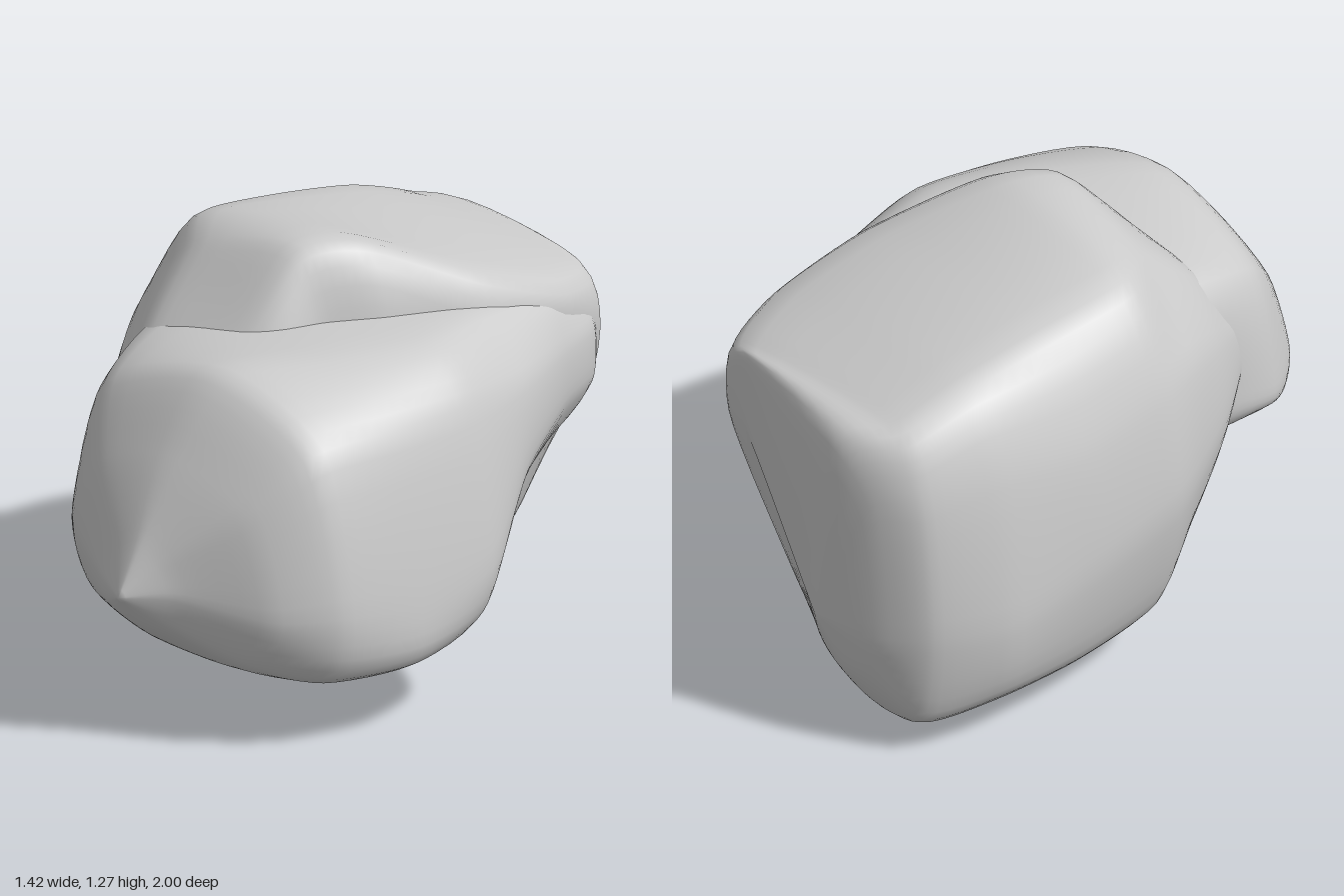
import * as THREE from 'three';

const material = new THREE.MeshStandardMaterial({ color: 0xcccccc });
const tension = 0.36;

// Smooth closed lobe lofted from back to front. Each section is
// { z, slant, p }: x, y corners, anticlockwise from the bottom left.
function lobe(name, backTip, sections, frontTip) {
  const corners = sections[0].p.length / 2, around = corners * 6, perSection = 6;
  const tail = new THREE.Vector3(...backTip), nose = new THREE.Vector3(...frontTip);

  // Rails run from tip to tip through matching corners
  const rails = [];
  for (let k = 0; k < corners; k++) {
    const points = sections.map(({ z, slant = 0, p }) =>
      new THREE.Vector3(p[2 * k], p[2 * k + 1], z + slant * Math.abs(p[2 * k] + 0.3)));
    rails.push(new THREE.CatmullRomCurve3([tail, ...points, nose], false, 'catmullrom', tension));
  }

  const rows = (sections.length + 1) * perSection;
  const position = [], index = [];
  for (let i = 0; i <= rows; i++) {
    const ring = new THREE.CatmullRomCurve3(rails.map(r => r.getPoint(i / rows)), true, 'catmullrom', tension);
    for (let j = 0; j < around; j++) {
      const v = ring.getPoint(j / around);
      position.push(v.x, Math.max(0, v.y), v.z);
      if (i === rows) continue;
      const a = i * around + j, b = i * around + (j + 1) % around;
      if (i > 0) index.push(a, b, a + around);
      if (i < rows - 1) index.push(b, b + around, a + around);
    }
  }
  const geometry = new THREE.BufferGeometry();
  geometry.setAttribute('position', new THREE.Float32BufferAttribute(position, 3));
  geometry.setIndex(index);
  geometry.computeVertexNormals();

  // Even shading at both tips
  const normal = geometry.attributes.normal;
  for (let j = 0; j < around; j++) {
    normal.setXYZ(j, 0, 0, -1);
    normal.setXYZ(rows * around + j, 0, 0, 1);
  }
  const mesh = new THREE.Mesh(geometry, material);
  mesh.name = name;
  return mesh;
}

export function createModel() {
  const rock = new THREE.Group();
  rock.name = 'rock';

  // Tall rear mass with a flat, backward sloping top, cut away low on its +x side
  rock.add(lobe('rearLobe', [-0.3, 0.42, -1], [
    { z: -0.95, slant: 0.17, p: [-0.45, 0.28, -0.36, 0.23, -0.25, 0.3, -0.06, 0.55, 0.17, 0.76, 0.1, 0.95, -0.3, 0.98, -0.45, 0.82, -0.5, 0.4] },
    { z: -0.82, p: [-0.57, 0.12, -0.38, 0.07, -0.13, 0.18, 0.08, 0.4, 0.3, 0.72, 0.25, 0.98, -0.42, 1.05, -0.57, 0.85, -0.62, 0.42] },
    { z: -0.6, p: [-0.65, 0.15, -0.38, 0, 0, 0.07, 0.2, 0.3, 0.33, 0.7, 0.34, 1.02, -0.44, 1.12, -0.62, 0.9, -0.7, 0.42] },
    { z: -0.3, p: [-0.64, 0.15, -0.38, 0.02, 0.1, 0.06, 0.27, 0.27, 0.37, 0.8, 0.3, 1.12, -0.45, 1.17, -0.65, 0.88, -0.71, 0.48] },
    { z: 0, p: [-0.6, 0.18, -0.34, 0.02, 0.08, 0.03, 0.27, 0.25, 0.27, 0.95, 0.14, 1.25, -0.45, 1.2, -0.63, 0.93, -0.69, 0.55] },
    { z: 0.17, p: [-0.51, 0.28, -0.28, 0.13, 0.08, 0.11, 0.2, 0.35, 0.17, 0.95, 0.05, 1.24, -0.34, 1.16, -0.56, 0.92, -0.61, 0.58] },
    { z: 0.36, p: [-0.4, 0.39, -0.22, 0.28, 0, 0.25, 0.1, 0.5, 0.1, 0.85, 0, 1.02, -0.3, 1.01, -0.45, 0.85, -0.49, 0.62] },
  ], [-0.25, 0.7, 0.64]));

  // Overhanging front mass, tapering flush into the upper side at the back
  rock.add(lobe('frontLobe', [0.06, 0.8, -0.87], [
    { z: -0.78, p: [0.05, 0.65, 0.12, 0.6, 0.25, 0.6, 0.33, 0.7, 0.33, 0.85, 0.24, 0.96, 0.1, 0.95, 0.05, 0.75] },
    { z: -0.55, p: [0, 0.58, 0.1, 0.52, 0.32, 0.52, 0.43, 0.68, 0.43, 0.86, 0.33, 1, 0, 0.95, -0.05, 0.75] },
    { z: -0.25, p: [-0.2, 0.5, 0.1, 0.38, 0.4, 0.4, 0.56, 0.6, 0.54, 0.86, 0.37, 1.03, 0, 1, -0.2, 0.75] },
    { z: 0.05, p: [-0.3, 0.45, 0.15, 0.23, 0.61, 0.24, 0.7, 0.42, 0.61, 0.88, 0.4, 1.04, -0.3, 1.02, -0.45, 0.7] },
    { z: 0.35, p: [-0.34, 0.45, 0.1, 0.2, 0.65, 0.19, 0.7, 0.38, 0.59, 0.88, 0.3, 1.04, -0.34, 0.98, -0.4, 0.62] },
    { z: 0.62, p: [-0.32, 0.44, 0.05, 0.23, 0.57, 0.19, 0.65, 0.4, 0.53, 0.86, 0.15, 1.02, -0.27, 0.89, -0.37, 0.54] },
    { z: 0.78, p: [-0.18, 0.36, 0.1, 0.25, 0.42, 0.24, 0.52, 0.4, 0.42, 0.7, 0.12, 0.81, -0.14, 0.73, -0.24, 0.52] },
    { z: 0.91, p: [0, 0.38, 0.13, 0.33, 0.24, 0.36, 0.27, 0.45, 0.22, 0.54, 0.13, 0.59, 0.04, 0.55, -0.02, 0.46] },
  ], [0.13, 0.44, 1]));

  return rock;
}
